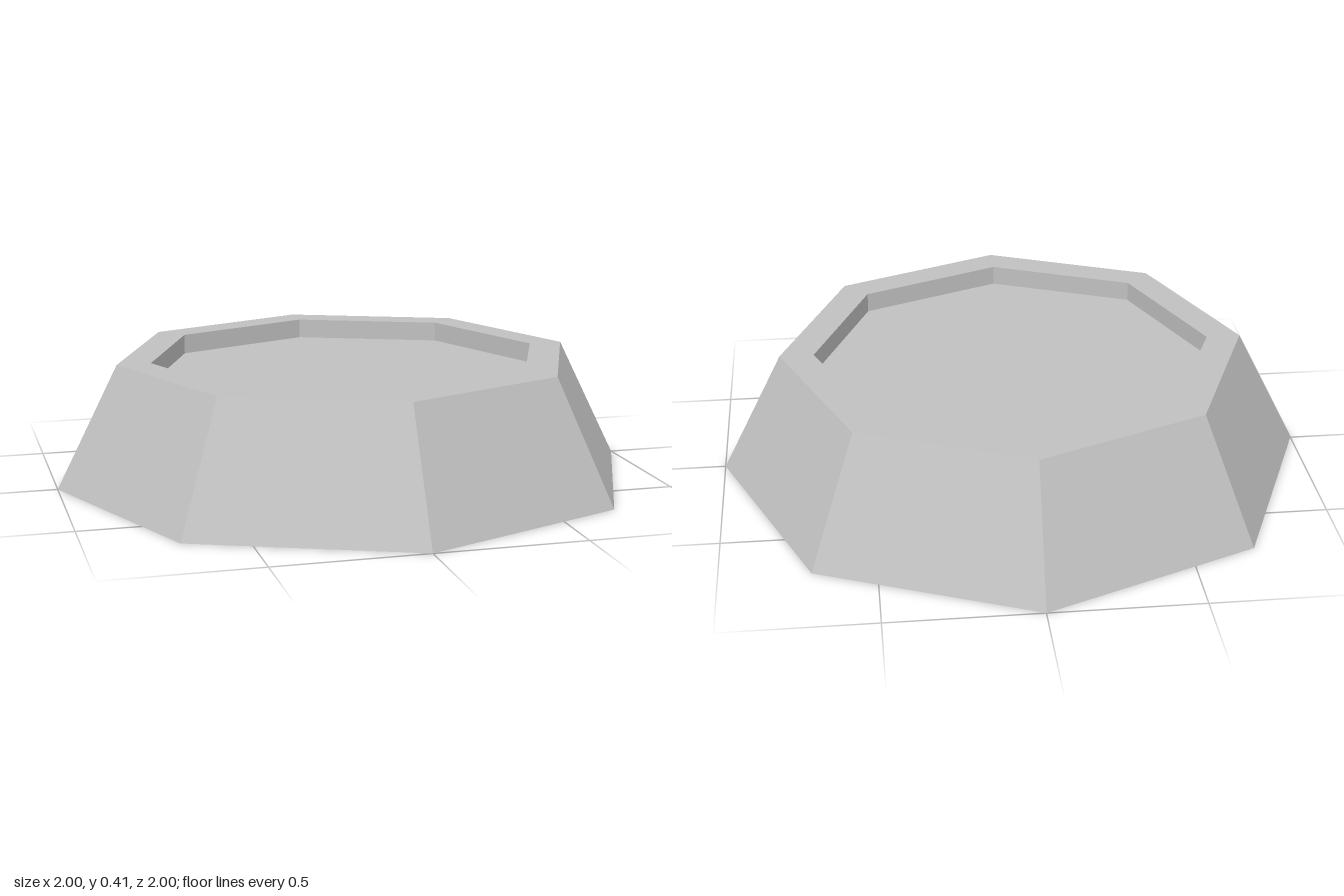
import * as THREE from 'three';

const SIDES = 8;
const HEIGHT = 0.415;
const FLOOR = 0.347;
const RECESS = 0.675;

// Faceted solid of revolution with corners on the x and z axes
function facetedLathe(points) {
  const profile = points.map(([r, y]) => new THREE.Vector2(r, y));
  const geometry = new THREE.LatheGeometry(profile, SIDES).toNonIndexed();
  geometry.computeVertexNormals();
  return geometry;
}

export function createModel() {
  const model = new THREE.Group();
  model.name = 'octagonalBase';
  const grey = new THREE.MeshStandardMaterial({ color: 0xc0c0c0, flatShading: true });
  grey.name = 'lightGrey';

  const addPart = (name, points) => {
    const mesh = new THREE.Mesh(facetedLathe(points), grey);
    mesh.name = name;
    model.add(mesh);
  };

  // Underside, sloped sides and flat rim
  addPart('body', [[0, 0], [1, 0], [0.79, HEIGHT], [RECESS, HEIGHT]]);
  // Upright walls and floor of the shallow recess
  addPart('recess', [[RECESS, HEIGHT], [RECESS, FLOOR], [0, FLOOR]]);

  return model;
}
